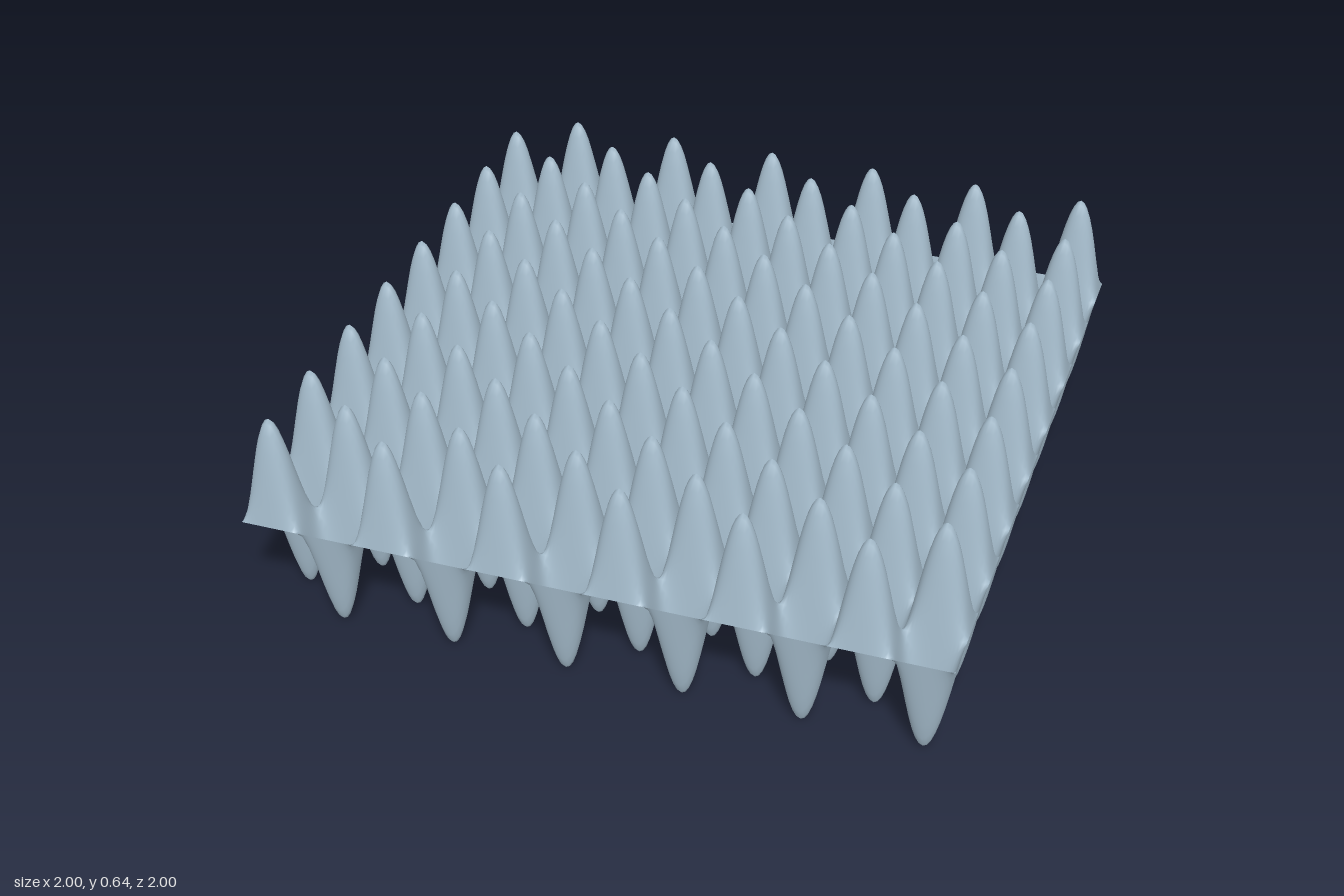
import * as THREE from 'three';

const SIZE = 2;
const SEGMENTS = 192;   // puts a grid line on every crest and node
const AMPLITUDE = 0.32;
const LOBES_X = 12;
const LOBES_Z = 16;

// Height of the standing wave, lowest troughs resting on y = 0
function waveHeight(x, z) {
  const kx = (Math.PI * LOBES_X) / SIZE;
  const kz = (Math.PI * LOBES_Z) / SIZE;
  return AMPLITUDE * (1 - Math.sin(kx * x) * Math.sin(kz * z));
}

export function createModel() {
  const model = new THREE.Group();
  model.name = 'waveSurface';

  const paleBlue = new THREE.MeshStandardMaterial({ color: 0xa5bccc, side: THREE.DoubleSide });
  paleBlue.name = 'pale steel blue';

  // Open sheet lying flat, lifted point by point into crests and troughs
  const geometry = new THREE.PlaneGeometry(SIZE, SIZE, SEGMENTS, SEGMENTS);
  geometry.rotateX(-Math.PI / 2);
  const position = geometry.attributes.position;
  for (let i = 0; i < position.count; i++) {
    position.setY(i, waveHeight(position.getX(i), position.getZ(i)));
  }
  geometry.computeVertexNormals();

  const sheet = new THREE.Mesh(geometry, paleBlue);
  sheet.name = 'rippledSheet';
  model.add(sheet);
  return model;
}
